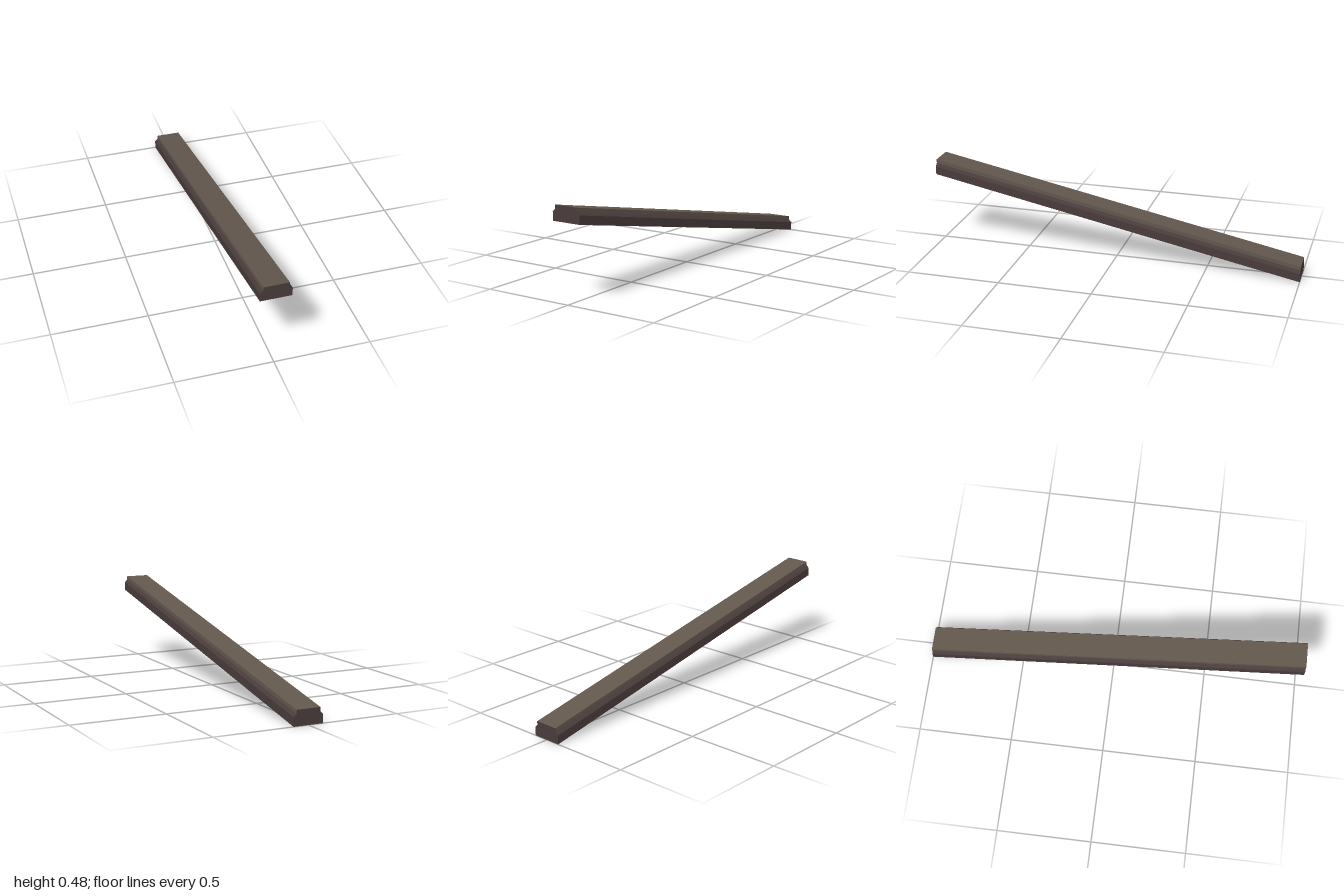
import * as THREE from 'three';

const bodyMaterial = new THREE.MeshStandardMaterial({ color: 0x493b3b });
bodyMaterial.name = 'dark brown';
const treadMaterial = new THREE.MeshStandardMaterial({ color: 0x62574d });
treadMaterial.name = 'grey brown';

const LENGTH = 2;
const SLOPE = 0.2;

// Extrude a cross-section along z, then shear it so the ends stay vertical
function slopedBar(name, points, materials) {
  const shape = new THREE.Shape(points.map(([x, y]) => new THREE.Vector2(x, y)));
  const geometry = new THREE.ExtrudeGeometry(shape, { depth: LENGTH, bevelEnabled: false });
  geometry.translate(0, 0, -LENGTH / 2);
  const p = geometry.attributes.position;
  for (let i = 0; i < p.count; i++) p.setY(i, p.getY(i) + SLOPE * (p.getZ(i) + LENGTH / 2));
  geometry.computeVertexNormals();
  const mesh = new THREE.Mesh(geometry, materials);
  mesh.name = name;
  return mesh;
}

export function createModel() {
  const group = new THREE.Group();
  group.name = 'slopedRail';

  // Wide lower beam with chamfered shoulders
  group.add(slopedBar('beam', [
    [-0.08, 0], [0.08, 0], [0.08, 0.045], [0.065, 0.06], [-0.065, 0.06], [-0.08, 0.045],
  ], bodyMaterial));

  // Narrow raised cap: ends match the beam, long faces are lighter
  group.add(slopedBar('cap', [
    [-0.065, 0.06], [0.065, 0.06], [0.065, 0.08], [-0.065, 0.08],
  ], [bodyMaterial, treadMaterial]));

  return group;
}
